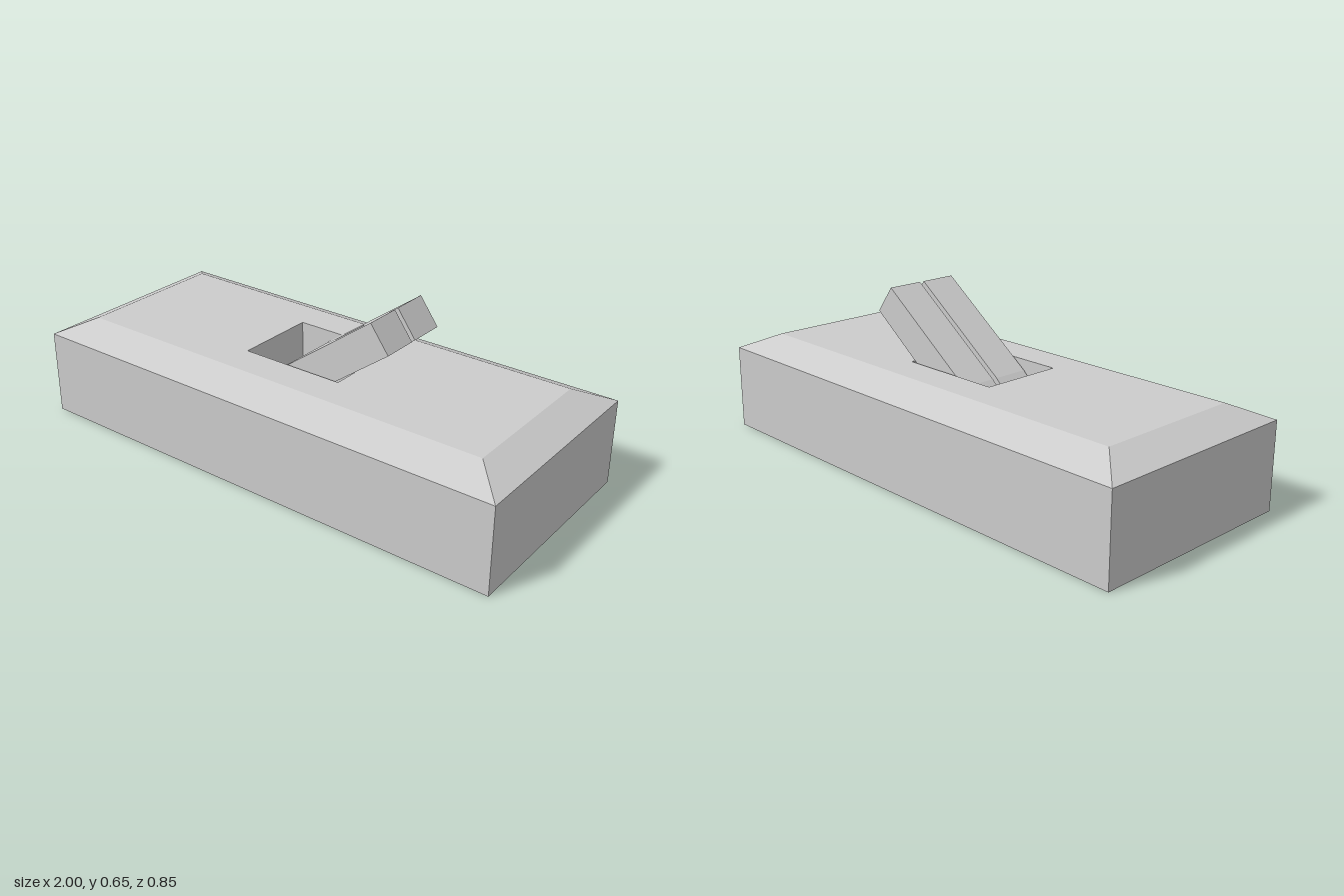
import * as THREE from 'three';

const material = new THREE.MeshStandardMaterial({ color: 0xcccccc, flatShading: true });

// Closed shell from stacked rectangular rings [halfX, halfZ, y]
function ringShell(rings) {
  const corners = [[1, 1], [1, -1], [-1, -1], [-1, 1]];
  const point = ([hx, hz, y], i) => {
    const [sx, sz] = corners[i % 4];
    return [sx * hx, y, sz * hz];
  };
  const positions = [];
  for (let r = 0; r < rings.length - 1; r++) {
    for (let i = 0; i < 4; i++) {
      const a = point(rings[r], i), b = point(rings[r], i + 1);
      const c = point(rings[r + 1], i + 1), d = point(rings[r + 1], i);
      if (rings[r][0] > 0) positions.push(...a, ...b, ...c);
      if (rings[r + 1][0] > 0) positions.push(...a, ...c, ...d);
    }
  }
  const geometry = new THREE.BufferGeometry();
  geometry.setAttribute('position', new THREE.Float32BufferAttribute(positions, 3));
  geometry.computeVertexNormals();
  return geometry;
}

export function createModel() {
  const model = new THREE.Group();
  model.name = 'leverSwitch';

  // Housing: underside, sides, bevelled rim, top face, then the recessed well
  const housing = new THREE.Mesh(ringShell([
    [0, 0, 0],
    [1, 0.425, 0],
    [1, 0.425, 0.335],
    [0.875, 0.297, 0.395],
    [0.21, 0.163, 0.395],
    [0.21, 0.163, 0.17],
    [0, 0, 0.17],
  ]), material);
  housing.name = 'housing';
  model.add(housing);

  // Twin levers: slanted bars with a faceted rounded foot in the well
  const profile = new THREE.Shape([
    [0.337, 0.655], [-0.07, 0.357], [-0.11, 0.318], [-0.13, 0.27],
    [-0.11, 0.22], [-0.07, 0.2], [-0.03, 0.224], [0.412, 0.553],
  ].map(([x, y]) => new THREE.Vector2(x, y)));
  const width = 0.143;
  const leverGeometry = new THREE.ExtrudeGeometry(profile, { depth: width, bevelEnabled: false });
  leverGeometry.translate(0, 0, -width / 2);
  for (const side of [1, -1]) {
    const lever = new THREE.Mesh(leverGeometry, material);
    lever.name = side > 0 ? 'frontLever' : 'backLever';
    lever.position.z = side * 0.081;
    model.add(lever);
  }

  return model;
}
